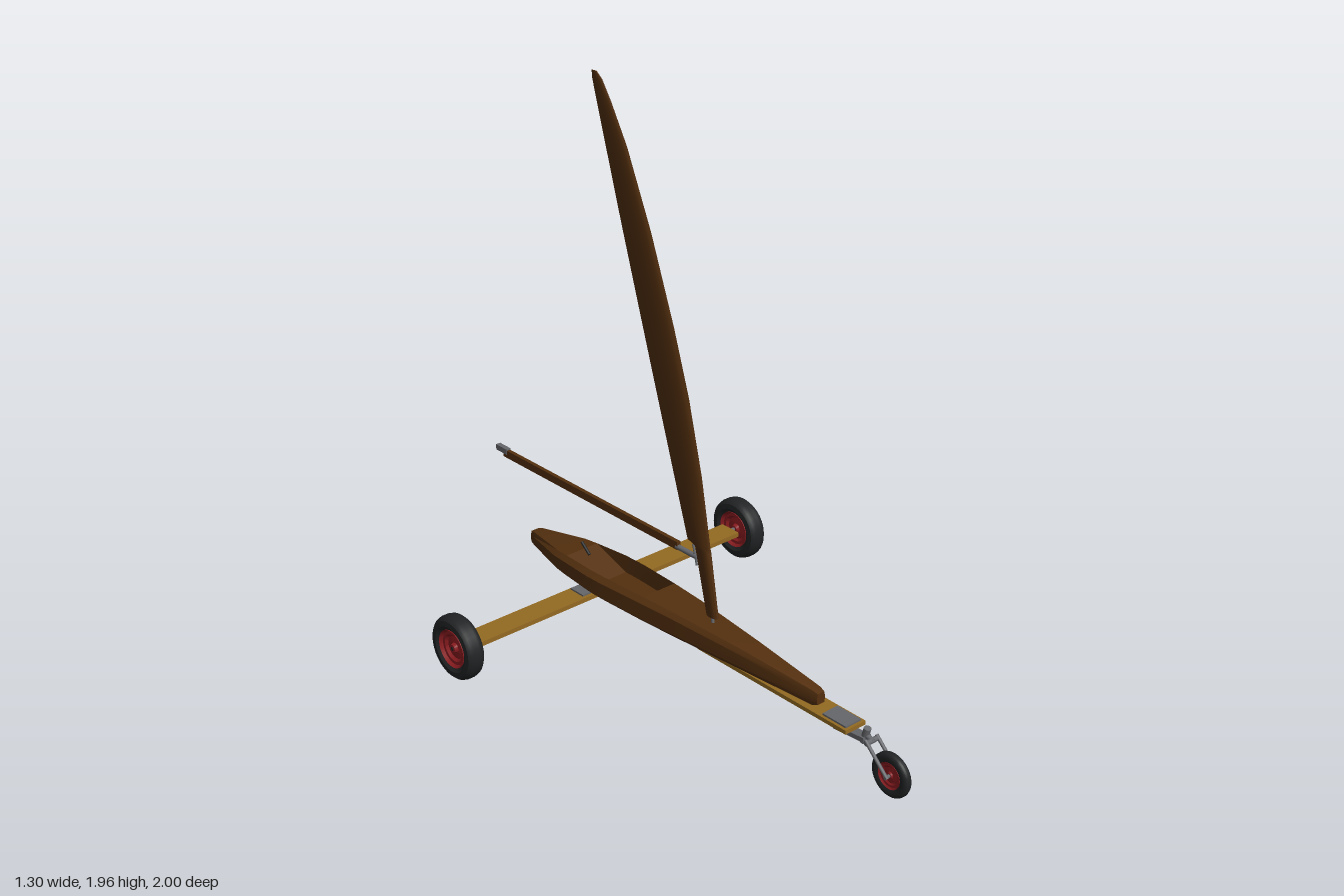
import * as THREE from 'three';
import { toCreasedNormals } from 'three/addons/utils/BufferGeometryUtils.js';

const paint = (name, color, side = THREE.FrontSide) =>
  Object.assign(new THREE.MeshStandardMaterial({ color, side }), { name });

// Skin a list of cross-section loops; wrap(i) says whether band i is closed
function loft(sections, crease, wrap = () => true, caps = true) {
  const pos = [];
  const tri = (...points) => points.forEach(p => pos.push(...p));
  const n = sections[0].length;
  for (let i = 0; i < sections.length - 1; i++) {
    const A = sections[i], B = sections[i + 1];
    for (let j = 0; j < (wrap(i) ? n : n - 1); j++) {
      const k = (j + 1) % n;
      tri(A[j], B[j], B[k]);
      tri(A[j], B[k], A[k]);
    }
  }
  if (caps) {
    const F = sections[0], L = sections[sections.length - 1];
    for (let j = 1; j < n - 1; j++) {
      tri(F[0], F[j], F[j + 1]);
      tri(L[0], L[j + 1], L[j]);
    }
  }
  const g = new THREE.BufferGeometry();
  g.setAttribute('position', new THREE.Float32BufferAttribute(pos, 3));
  return toCreasedNormals(g, crease);
}

export function createModel() {
  const root = new THREE.Group();
  root.name = 'landYacht';
  const brown = paint('darkWood', 0x54300f, THREE.DoubleSide);
  const tan = paint('plankWood', 0x946a22);
  const steel = paint('steel', 0x66676b);
  const rubber = paint('rubber', 0x212324);
  const red = paint('redRim', 0x8a1c20);

  const add = (name, geometry, material, parent = root) => {
    const m = new THREE.Mesh(geometry, material);
    m.name = name;
    parent.add(m);
    return m;
  };
  const box = (name, mat, w, h, d, x, y, z) => {
    const m = add(name, new THREE.BoxGeometry(w, h, d), mat);
    m.position.set(x, y, z);
    return m;
  };
  // Round bar between two points
  const rod = (name, mat, a, b, r, parent = root) => {
    const p = new THREE.Vector3(...a), q = new THREE.Vector3(...b);
    const m = add(name, new THREE.CylinderGeometry(r, r, p.distanceTo(q), 12), mat, parent);
    m.position.copy(p).add(q).multiplyScalar(0.5);
    m.quaternion.setFromUnitVectors(new THREE.Vector3(0, 1, 0), q.sub(p).normalize());
    return m;
  };

  // Hull: z, half width, bottom, top
  const stations = [
    [0.62, 0.017, 0.182, 0.22], [0.6, 0.021, 0.175, 0.226], [0.3, 0.047, 0.174, 0.246],
    [0, 0.075, 0.174, 0.258], [-0.14, 0.086, 0.174, 0.259], [-0.32, 0.096, 0.175, 0.257],
    [-0.4, 0.096, 0.175, 0.255], [-0.54, 0.083, 0.176, 0.249], [-0.6, 0.076, 0.177, 0.245],
    [-0.78, 0.026, 0.178, 0.228], [-0.8, 0.02, 0.181, 0.223],
  ];
  const rim = 0.8;
  const hull = stations.map(([z, w, b, t]) => [
    [-w * rim, t, z], [-w, t - 0.016, z], [-w, b + 0.012, z], [-w * 0.88, b, z],
    [w * 0.88, b, z], [w, b + 0.012, z], [w, t - 0.016, z], [w * rim, t, z],
  ]);
  add('hull', loft(hull, 0.35, i => i < 4 || i > 6), brown);

  // Cockpit liner: flat floor, then a reclined back
  const liner = stations.slice(4, 8).map(([z, w, , t]) => {
    const f = z < -0.5 ? t : 0.19, c = w * rim;
    return [[c, t, z], [c, f, z], [-c, f, z], [-c, t, z]];
  });
  add('cockpit', loft(liner, 0.35, () => false), brown);
  rod('backrestPeg', rubber, [0, 0.245, -0.5], [0, 0.278, -0.54], 0.005);

  // Wing sail: leading z, trailing z, y, half thickness
  const sailRows = [
    [0.15, 0.095, 0.275, 0.011], [0.113, 0.038, 0.5, 0.012], [0.111, 0.002, 0.51, 0.012],
    [0.07, -0.074, 0.75, 0.012], [0.01, -0.153, 1, 0.012], [-0.06, -0.222, 1.22, 0.011],
    [-0.164, -0.309, 1.5, 0.01], [-0.275, -0.384, 1.75, 0.008], [-0.35, -0.423, 1.88, 0.006],
    [-0.39, -0.44, 1.94, 0.004], [-0.415, -0.44, 1.96, 0.002],
  ];
  const sail = sailRows.map(([lead, trail, y, h], row) =>
    Array.from({ length: 16 }, (_, i) => {
      const t = i / 16 * Math.PI * 2, s = (1 - Math.sin(t)) / 2;
      const slant = row === 0 ? -0.006 * s : 0;
      return [h * Math.cos(t) * (0.8 + 0.3 * Math.sin(t)), y + slant, lead + (trail - lead) * s];
    }));
  add('wingSail', loft(sail, 0.7), brown);
  rod('mastFoot', steel, [0, 0.245, 0.125], [0, 0.29, 0.122], 0.006);

  // Boom and its fittings
  box('boom', brown, 0.014, 0.028, 0.92, 0, 0.466, -0.5);
  rod('boomJaw', steel, [0, 0.46, 0.05], [0, 0.46, -0.05], 0.009);
  rod('gooseneck', steel, [0, 0.43, 0.048], [0, 0.5, 0.03], 0.004);
  box('boomEnd', steel, 0.018, 0.02, 0.06, 0, 0.475, -0.969);

  // Planks
  box('rearAxlePlank', tan, 1.155, 0.016, 0.085, 0, 0.167, -0.418);
  box('frontPlank', tan, 0.086, 0.014, 0.67, 0, 0.167, 0.435);
  rod('plankBolt', steel, [0, 0.13, 0.142], [0, 0.17, 0.135], 0.004);
  for (const s of [-1, 1]) {
    box('axleBracket', steel, 0.045, 0.008, 0.065, s * 0.1, 0.177, -0.42);
    rod('stubAxle', steel, [s * 0.55, 0.166, -0.418], [s * 0.6, 0.166, -0.418], 0.007);
  }

  // Wheels: rounded tyre ring around a dished rim
  const lathe = pts => toCreasedNormals(
    new THREE.LatheGeometry(pts.map(p => new THREE.Vector2(...p)), 36), 0.6);
  function wheel(name, R, rimR, h, x, y, z) {
    const g = new THREE.Group();
    g.name = name;
    g.position.set(x, y, z);
    g.rotation.z = -Math.PI / 2;
    root.add(g);
    const shoulder = R - rimR;
    add('tyre', lathe([
      [rimR, -h * 0.75], [rimR + shoulder * 0.3, -h], [R - shoulder * 0.3, -h * 0.95],
      [R - shoulder * 0.08, -h * 0.65], [R, -h * 0.25], [R, h * 0.25],
      [R - shoulder * 0.08, h * 0.65], [R - shoulder * 0.3, h * 0.95],
      [rimR + shoulder * 0.3, h], [rimR, h * 0.75], [rimR, -h * 0.75],
    ]), rubber, g);
    const half = [[0.2, 0.7], [0.26, 0.35], [0.6, 0.3], [0.72, 0.55], [0.88, 0.55], [1, 0.85]];
    const rimPts = [
      [0, -h * 0.7], ...half.map(([r, k]) => [r * rimR, -k * h]),
      ...half.slice().reverse().map(([r, k]) => [r * rimR, k * h]), [0, h * 0.7],
    ];
    add('rim', lathe(rimPts), red, g);
    add('hubCap', new THREE.CylinderGeometry(rimR * 0.1, rimR * 0.1, h * 1.5, 12), rubber, g);
  }
  for (const s of [-1, 1]) wheel(s > 0 ? 'leftWheel' : 'rightWheel', 0.111, 0.066, 0.033, s * 0.617, 0.166, -0.418);
  wheel('frontWheel', 0.075, 0.045, 0.015, 0, 0.076, 0.925);

  // Steering fork
  box('steeringPlate', steel, 0.066, 0.006, 0.1, 0, 0.177, 0.71);
  box('steeringArm', steel, 0.034, 0.016, 0.13, 0, 0.147, 0.755).rotation.x = -0.08;
  rod('steeringHead', steel, [0, 0.135, 0.805], [0, 0.19, 0.82], 0.012);
  rod('forkCrown', steel, [-0.027, 0.155, 0.84], [0.027, 0.155, 0.84], 0.009);
  rod('forkNeck', steel, [0, 0.165, 0.81], [0, 0.155, 0.845], 0.009);
  rod('frontAxle', steel, [-0.03, 0.076, 0.925], [0.03, 0.076, 0.925], 0.006);
  for (const s of [-1, 1]) {
    rod('forkLeg', steel, [s * 0.024, 0.165, 0.835], [s * 0.024, 0.072, 0.93], 0.006);
  }
  return root;
}
